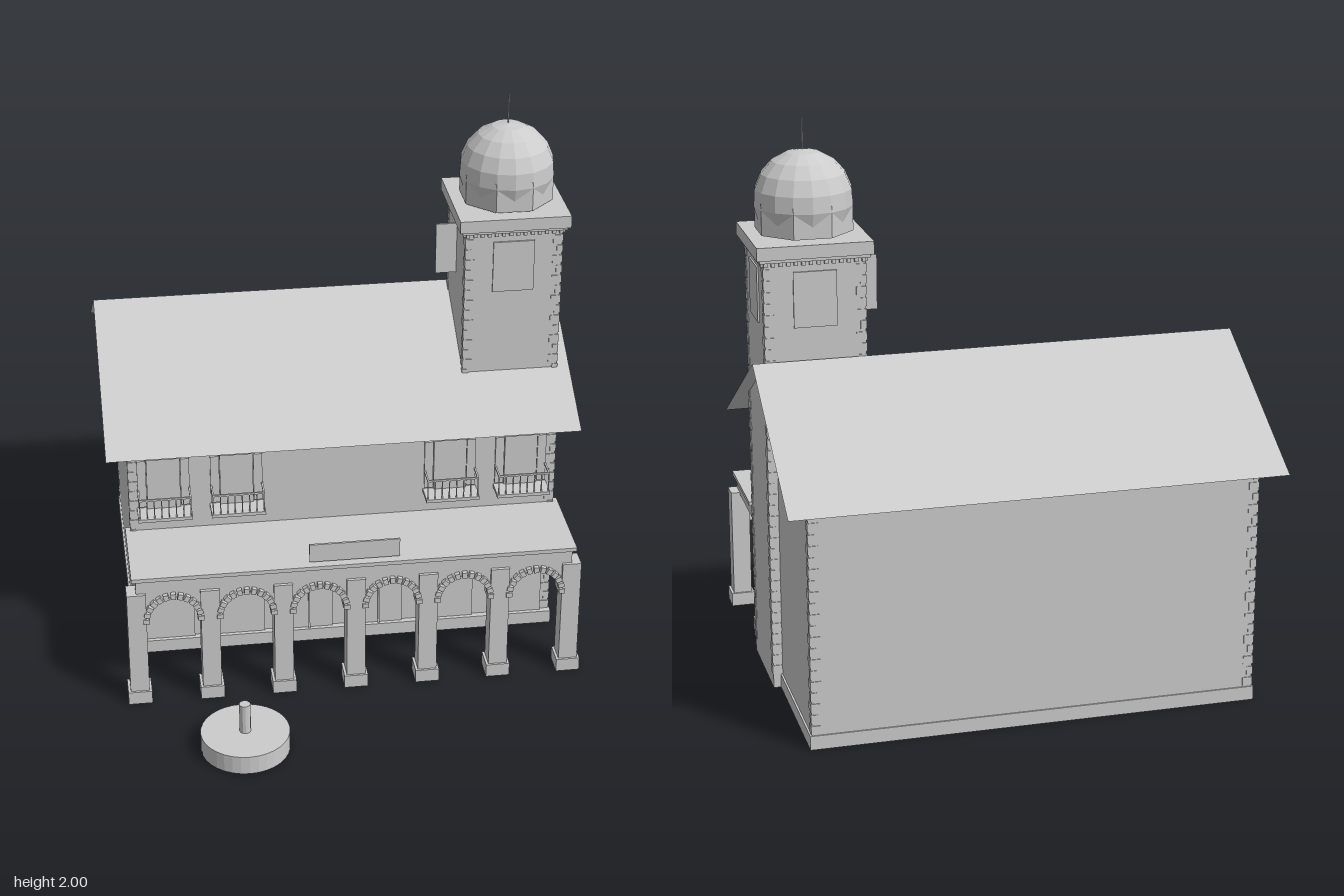
import * as THREE from 'three';

const stone = new THREE.MeshStandardMaterial({ color: 0xcccccc, flatShading: true, side: THREE.DoubleSide });
stone.name = 'pale stone';

function add(parent, name, geometry, x = 0, y = 0, z = 0) {
  const mesh = new THREE.Mesh(geometry, stone);
  mesh.name = name;
  mesh.position.set(x, y, z);
  parent.add(mesh);
  return mesh;
}

// Box given by its minimum and maximum on each axis
function box(parent, name, x0, x1, y0, y1, z0, z1) {
  return add(parent, name, new THREE.BoxGeometry(x1 - x0, y1 - y0, z1 - z0),
    (x0 + x1) / 2, (y0 + y1) / 2, (z0 + z1) / 2);
}

function group(parent, name) {
  const g = new THREE.Group();
  g.name = name;
  parent.add(g);
  return g;
}

function extrude(points, depth) {
  const shape = new THREE.Shape(points.map(([x, y]) => new THREE.Vector2(x, y)));
  return new THREE.ExtrudeGeometry(shape, { depth, bevelEnabled: false });
}

// Alternating long and short corner stones, barely proud of the walls
function quoins(parent, x, z, y0, y1) {
  const count = Math.floor((y1 - y0) / 0.04);
  for (let i = 0; i < count; i++) {
    const s = i % 2 ? 0.022 : 0.036;
    const [sx, sz] = [Math.sign(x.dir), Math.sign(z.dir)];
    add(parent, 'cornerStone', new THREE.BoxGeometry(s, 0.03, s),
      x.at + sx * (0.003 - s / 2), y0 + 0.02 + i * 0.04, z.at + sz * (0.003 - s / 2));
  }
}

function buildHall(root) {
  const hall = group(root, 'hall');
  // Gabled body, extruded along x
  const body = add(hall, 'walls', extrude(
    [[-0.16, 0], [-0.16, 0.87], [0.37, 1.18], [0.885, 0.87], [0.885, 0]], 1.56), -0.78, 0, 0);
  body.rotation.y = Math.PI / 2;
  box(hall, 'plinth', -0.787, 0.787, 0, 0.05, -0.89, 0.183);

  // Two thin roof slopes
  for (const [z, name] of [[0.23, 'frontRoof'], [-0.97, 'backRoof']]) {
    const run = z + 0.37, rise = -0.35;
    const slope = new THREE.PlaneGeometry(1.72, Math.hypot(run, rise));
    slope.rotateX(-Math.PI / 2 + Math.atan2(-rise, Math.abs(run)) * Math.sign(run));
    add(hall, name, slope, 0, 1.025, (z - 0.37) / 2);
  }
  for (const sx of [-1, 1]) {
    quoins(hall, { at: sx * 0.78, dir: sx }, { at: 0.16, dir: 1 }, 0.05, 0.86);
    quoins(hall, { at: sx * 0.78, dir: sx }, { at: -0.885, dir: -1 }, 0.05, 0.86);
  }
}

function buildBalconyWindow(root, x) {
  const w = group(root, 'balconyWindow');
  w.position.x = x;
  box(w, 'windowFrame', -0.06, 0.06, 0.61, 0.825, 0.155, 0.17);
  box(w, 'windowHead', -0.066, 0.066, 0.815, 0.828, 0.155, 0.175);
  for (const s of [-1, 1]) {
    const a = s * 0.062, b = s * 0.094;
    box(w, 'shutter', Math.min(a, b), Math.max(a, b), 0.62, 0.81, 0.155, 0.168);
    box(w, 'sideRail', s * 0.092 - 0.003, s * 0.092 + 0.003, 0.685, 0.692, 0.16, 0.24);
  }
  box(w, 'balconyFloor', -0.098, 0.098, 0.6, 0.613, 0.16, 0.245);
  box(w, 'frontRail', -0.095, 0.095, 0.685, 0.692, 0.235, 0.241);
  for (let i = 0; i < 8; i++) {
    const bx = -0.092 + i * 0.0263;
    box(w, 'baluster', bx - 0.002, bx + 0.002, 0.613, 0.687, 0.236, 0.24);
  }
}

function buildPorch(root) {
  const porch = group(root, 'porch');
  const step = 0.2615;
  box(porch, 'porchRoof', -0.8, 0.8, 0.505, 0.52, 0.135, 0.493);
  box(porch, 'porchBeam', -0.785, 0.785, 0.447, 0.505, 0.16, 0.485);

  // Seven square columns on wider feet
  for (let i = 0; i < 7; i++) {
    const x = -0.785 + i * step;
    box(porch, 'column', x - 0.034, x + 0.034, 0, 0.455, 0.425, 0.497);
    box(porch, 'columnFoot', x - 0.043, x + 0.043, 0, 0.05, 0.418, 0.505);
  }

  for (let i = 0; i < 6; i++) {
    const x = -0.785 + (i + 0.5) * step;
    // Arched infill between neighbouring columns
    const shape = new THREE.Shape();
    shape.moveTo(0.1, 0.335);
    shape.lineTo(0.1, 0.45);
    shape.lineTo(-0.1, 0.45);
    shape.lineTo(-0.1, 0.335);
    shape.lineTo(-0.085, 0.335);
    shape.absarc(0, 0.345, 0.085, Math.PI, 0, true);
    shape.lineTo(0.085, 0.335);
    add(porch, 'arch', new THREE.ExtrudeGeometry(shape,
      { depth: 0.045, bevelEnabled: false, curveSegments: 12 }), x, 0, 0.44);
    // Ring of arch stones
    for (let k = 0; k <= 12; k++) {
      const a = Math.PI * k / 12;
      const block = add(porch, 'archStone', new THREE.BoxGeometry(0.022, 0.018, 0.02),
        x + Math.cos(a) * 0.097, 0.345 + Math.sin(a) * 0.097, 0.492);
      block.rotation.z = a;
    }
    // Doors in the middle bays, pedimented windows in the others
    if (i === 2 || i === 3) {
      box(porch, 'door', x - 0.088, x + 0.088, 0.05, 0.345, 0.155, 0.168);
      box(porch, 'doorEdge', x - 0.003, x + 0.003, 0.05, 0.335, 0.16, 0.176);
    } else {
      box(porch, 'groundWindow', x - 0.095, x + 0.095, 0.05, 0.305, 0.155, 0.168);
      add(porch, 'pediment', extrude([[-0.098, 0.305], [0.098, 0.305], [0.098, 0.318],
        [0, 0.345], [-0.098, 0.318]], 0.02), x, 0, 0.158);
    }
  }
  box(porch, 'blankSign', -0.165, 0.16, 0.52, 0.603, 0.461, 0.469).scale.y = 0.85;
}

function buildTower(root) {
  const tower = group(root, 'tower');
  tower.position.set(0.6375, 0, -0.188);
  const h = 0.175;
  box(tower, 'shaft', -h, h, 0, 1.555, -h, h);
  box(tower, 'corniceStep', -0.19, 0.19, 1.548, 1.562, -0.19, 0.19);
  box(tower, 'cornice', -0.201, 0.201, 1.56, 1.606, -0.201, 0.201);
  for (const sx of [-1, 1]) for (const sz of [-1, 1]) {
    quoins(tower, { at: sx * h, dir: sx }, { at: sz * h, dir: sz }, 0.05, 1.53);
  }
  // Small teeth below the cornice on all four sides
  for (let i = 0; i < 14; i++) {
    const t = -0.169 + i * 0.026;
    for (const s of [-1, 1]) {
      add(tower, 'tooth', new THREE.BoxGeometry(0.013, 0.014, 0.012), t, 1.541, s * 0.179);
      add(tower, 'tooth', new THREE.BoxGeometry(0.012, 0.014, 0.013), s * 0.179, 1.541, t);
    }
  }
  // Thin window panels; the one on the inner side stands open
  const panel = new THREE.BoxGeometry(0.15, 0.195, 0.008);
  for (const s of [-1, 1]) add(tower, 'towerWindow', panel, 0, 1.4125, s * 0.177);
  add(tower, 'towerWindow', panel, 0.177, 1.4125, 0).rotation.y = Math.PI / 2;
  add(tower, 'openShutter', panel, -0.177, 1.4125, -0.007);

  // Octagonal drum, faceted dome and spike
  add(tower, 'drumSeat', new THREE.CylinderGeometry(0.088, 0.088, 0.014, 16), 0, 1.61, 0);
  const drum = new THREE.CylinderGeometry(0.172, 0.172, 0.11, 8);
  drum.rotateY(Math.PI / 8);
  add(tower, 'drum', drum, 0, 1.67, 0);
  add(tower, 'dome', new THREE.SphereGeometry(0.173, 16, 6, 0, Math.PI * 2, 0, Math.PI * 0.64), 0, 1.721, 0);
  add(tower, 'spike', new THREE.CylinderGeometry(0.003, 0.003, 0.12, 6), 0, 1.94, 0);
}

function buildFountain(root) {
  const fountain = group(root, 'fountain');
  fountain.position.set(-0.437, 0, 0.812);
  add(fountain, 'basin', new THREE.CylinderGeometry(0.157, 0.157, 0.07, 32), 0, 0.035, 0);
  add(fountain, 'post', new THREE.CylinderGeometry(0.02, 0.02, 0.115, 12), 0, 0.1255, 0);
}

export function createModel() {
  const root = new THREE.Group();
  root.name = 'arcadedHallWithTower';
  buildHall(root);
  for (const x of [-0.656, -0.392, 0.39, 0.652]) buildBalconyWindow(root, x);
  buildPorch(root);
  buildTower(root);
  buildFountain(root);
  return root;
}
